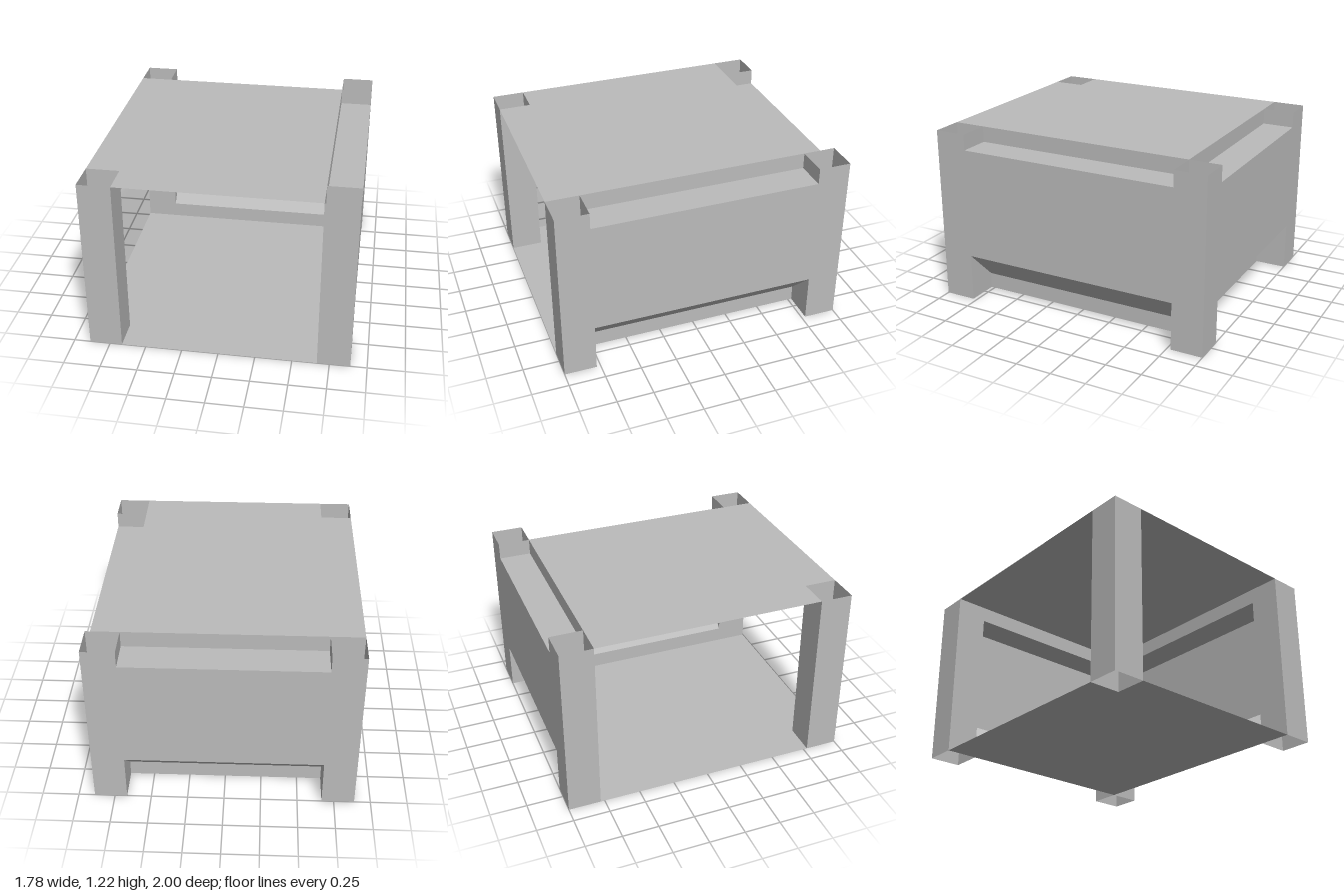
import * as THREE from 'three';

const U = 1 / 9; // the whole design sits on a grid of ninths

export function createModel() {
  const model = new THREE.Group();
  const grey = new THREE.MeshStandardMaterial({ color: 0xbbbbbb, side: THREE.DoubleSide });
  grey.name = 'grey';

  const add = (name, geometry) => {
    const mesh = new THREE.Mesh(geometry, grey);
    mesh.name = name;
    model.add(mesh);
    return mesh;
  };

  // Hollow square corner posts, open at both ends
  for (const x of [-7, 7]) {
    for (const z of [-8, 8]) {
      const tube = new THREE.CylinderGeometry(Math.SQRT2 * U, Math.SQRT2 * U, 11 * U, 4, 1, true)
        .rotateY(Math.PI / 4).toNonIndexed();
      tube.computeVertexNormals();
      const name = (z > 0 ? 'front' : 'back') + (x > 0 ? 'Left' : 'Right') + 'Post';
      add(name, tube).position.set(x * U, 5.5 * U, z * U);
    }
  }

  // Floor and top panels, notched around the posts
  const outline = new THREE.Shape(
    [[-6, -9], [6, -9], [6, 7], [-8, 7], [-8, -7], [-6, -7]]
      .map(([x, y]) => new THREE.Vector2(x * U, y * U)));
  const panel = () => new THREE.ShapeGeometry(outline);
  add('floorPanel', panel().rotateX(Math.PI / 2).scale(1, 1, -1).rotateY(0));
  add('topPanel', panel().rotateX(-Math.PI / 2)).position.y = 11 * U;
  // the mirrored floor needs its corners turned round to face down
  const floor = model.getObjectByName('floorPanel').geometry;
  floor.index.array.reverse();
  floor.computeVertexNormals();

  // Wall: recessed plinth, sloping underside, upright face, ledge and upstand
  function wall(name, half, inner, outer, turn) {
    const profile = [[inner, 0], [inner, 1], [outer, 3], [outer, 10], [inner, 10], [inner, 11]];
    const points = [];
    for (let i = 0; i < profile.length - 1; i++) {
      const [z0, y0] = profile[i];
      const [z1, y1] = profile[i + 1];
      points.push(-half, y0, z0, half, y0, z0, half, y1, z1);
      points.push(-half, y0, z0, half, y1, z1, -half, y1, z1);
    }
    const geometry = new THREE.BufferGeometry();
    geometry.setAttribute('position', new THREE.Float32BufferAttribute(points, 3));
    geometry.scale(U, U, U);
    geometry.computeVertexNormals();
    add(name, geometry).rotation.y = turn;
  }
  wall('backWall', 6, 7, 9, Math.PI);
  wall('leftWall', 7, 6, 8, Math.PI / 2);

  return model;
}
